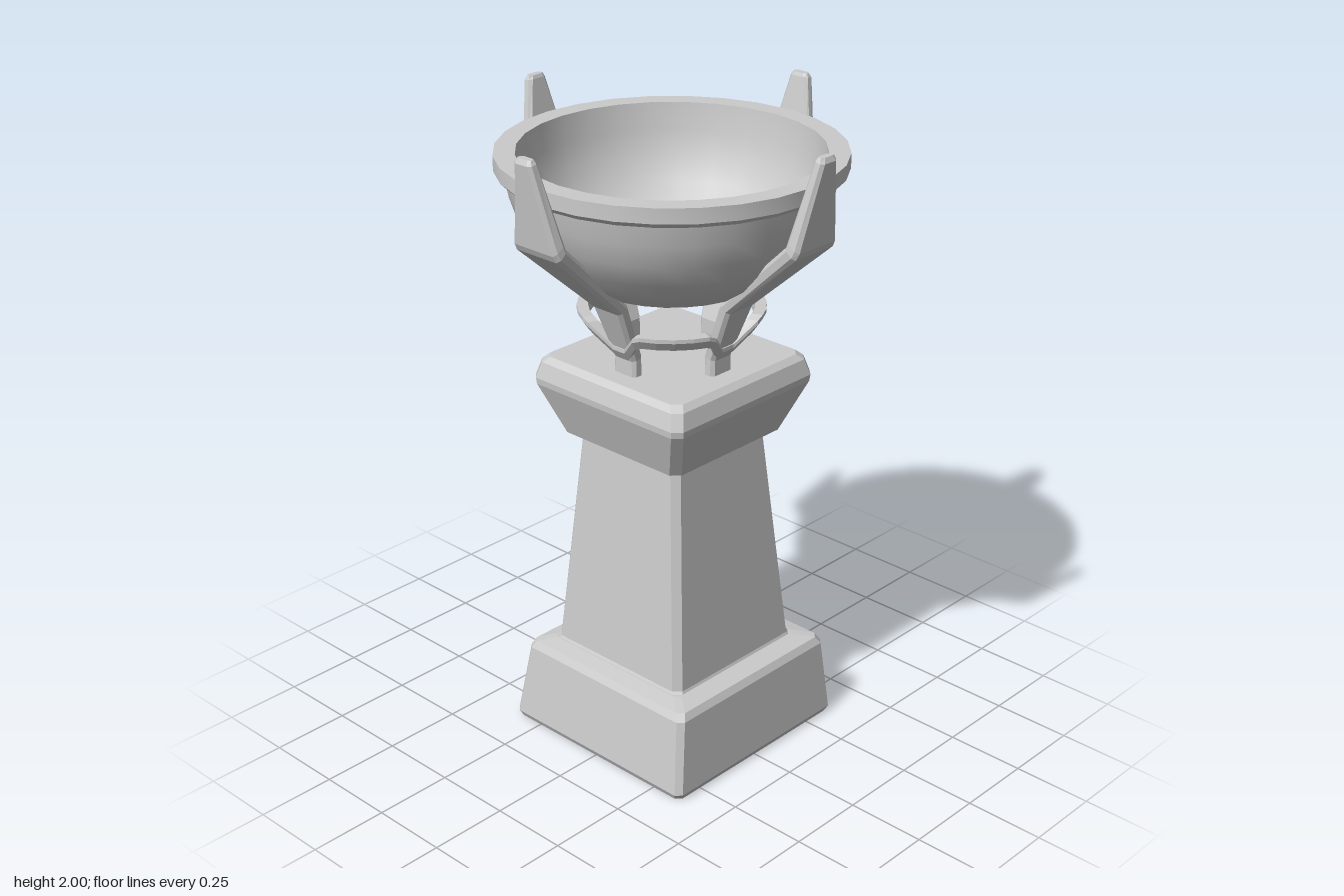
import * as THREE from 'three';
import { toCreasedNormals } from 'three/addons/utils/BufferGeometryUtils.js';

const flat = new THREE.MeshStandardMaterial({ color: 0xcccccc, flatShading: true });
const smooth = new THREE.MeshStandardMaterial({ color: 0xcccccc });

function add(group, name, geometry, material = flat) {
  const mesh = new THREE.Mesh(geometry, material);
  mesh.name = name;
  group.add(mesh);
  return mesh;
}

// Joins equal-sized cross-sections; closed wraps around, otherwise both ends are capped.
function loft(sections, closed = false) {
  const n = sections[0].length, m = sections.length, index = [];
  for (let i = 0; i < (closed ? m : m - 1); i++) {
    const a = i * n, b = ((i + 1) % m) * n;
    for (let j = 0; j < n; j++) {
      const k = (j + 1) % n;
      index.push(a + j, a + k, b + k, a + j, b + k, b + j);
    }
  }
  if (!closed) {
    const top = (m - 1) * n;
    for (let j = 1; j < n - 1; j++) {
      index.push(0, j + 1, j, top, top + j, top + j + 1);
    }
  }
  const g = new THREE.BufferGeometry();
  g.setAttribute('position', new THREE.Float32BufferAttribute(sections.flat(2), 3));
  g.setIndex(index);
  g.computeVertexNormals();
  return g;
}

// Square block with chamfered corners from rows of [half width, y, centre x, centre z].
function block(rows, c) {
  return loft(rows.map(([h, y, cx = 0, cz = 0]) => [
    [-h + c, h], [h - c, h], [h, h - c], [h, -h + c],
    [h - c, -h], [-h + c, -h], [-h, -h + c], [-h, h - c],
  ].map(([x, z]) => [x + cx, y, z + cz])));
}

// Upright blade from rows of [outer r, outer y, inner r, inner y, half width].
function blade(rows) {
  const c = 0.01, d = 0.25;
  return loft(rows.map(([ro, yo, ri, yi, h]) => [
    [-h + c, 1], [h - c, 1], [h, 1 - d], [h, d],
    [h - c, 0], [-h + c, 0], [-h, d], [-h, 1 - d],
  ].map(([x, t]) => [x, yi + (yo - yi) * t, ri + (ro - ri) * t])));
}

export function createModel() {
  const model = new THREE.Group();
  model.name = 'bowlOnPedestal';

  // Pedestal
  const pedestal = new THREE.Group();
  pedestal.name = 'pedestal';
  model.add(pedestal);
  add(pedestal, 'base', block([
    [0.35, 0, 0.005, 0.005], [0.36, 0.02, 0.005, 0.005],
    [0.333, 0.255, 0.01, 0.01], [0.32, 0.277, 0.01, 0.01], [0.27, 0.287, 0.01, 0],
  ], 0.018));
  add(pedestal, 'shaft', block([
    [0.275, 0.27, 0.01], [0.262, 0.295, 0.01], [0.203, 0.985, 0.005], [0.2, 1.02, 0.005],
  ], 0.022));
  add(pedestal, 'capital', block([
    [0.215, 0.995, 0.003], [0.237, 1.01, 0.003], [0.3, 1.17, 0.006], [0.302, 1.19, 0.006],
    [0.288, 1.24, 0.006], [0.27, 1.257, 0.006],
  ], 0.025));

  // Bowl: outside, rim, then inside
  const profile = [
    [0, 1.455], [0.09, 1.46], [0.18, 1.478], [0.27, 1.515], [0.345, 1.565], [0.405, 1.63],
    [0.445, 1.7], [0.468, 1.77], [0.48, 1.835], [0.495, 1.835], [0.51, 1.85], [0.51, 1.895],
    [0.447, 1.895], [0.438, 1.81], [0.42, 1.74], [0.385, 1.665], [0.335, 1.605],
    [0.265, 1.555], [0.18, 1.52], [0.09, 1.503], [0, 1.497],
  ].map(([r, y]) => new THREE.Vector2(r, y));
  add(model, 'bowl', toCreasedNormals(new THREE.LatheGeometry(profile, 28), 0.55), smooth);

  // Four bent prongs holding the bowl
  const prong = blade([
    [0.205, 1.22, 0.165, 1.22, 0.045],
    [0.204, 1.305, 0.165, 1.315, 0.043],
    [0.272, 1.475, 0.236, 1.495, 0.057],
    [0.535, 1.715, 0.5, 1.745, 0.088],
    [0.545, 1.735, 0.505, 1.765, 0.085],
    [0.581, 1.985, 0.548, 1.99, 0.033],
    [0.574, 2, 0.553, 2, 0.026],
  ]);
  for (let i = 0; i < 4; i++) {
    add(model, 'prong', prong).rotation.y = i * Math.PI / 2;
  }

  // Collar ring that dips and narrows in front of each prong
  const quarter = [
    [-24, 0.276, 1.4], [-19, 0.27, 1.39], [-6, 0.222, 1.327], [6, 0.222, 1.327],
    [19, 0.27, 1.39], [24, 0.276, 1.4], [34, 0.276, 1.4], [45, 0.276, 1.4], [56, 0.276, 1.4],
  ];
  const sections = [];
  for (let q = 0; q < 4; q++) {
    for (const [deg, r, y] of quarter) {
      const a = THREE.MathUtils.degToRad(deg + q * 90);
      sections.push([
        [0.004, 0.02], [0.004, 0.008], [-0.014, -0.02], [-0.032, -0.02], [-0.03, 0.02],
      ].map(([dr, dy]) => [Math.sin(a) * (r + dr), y + dy, Math.cos(a) * (r + dr)]));
    }
  }
  add(model, 'collarRing', loft(sections, true));

  return model;
}
